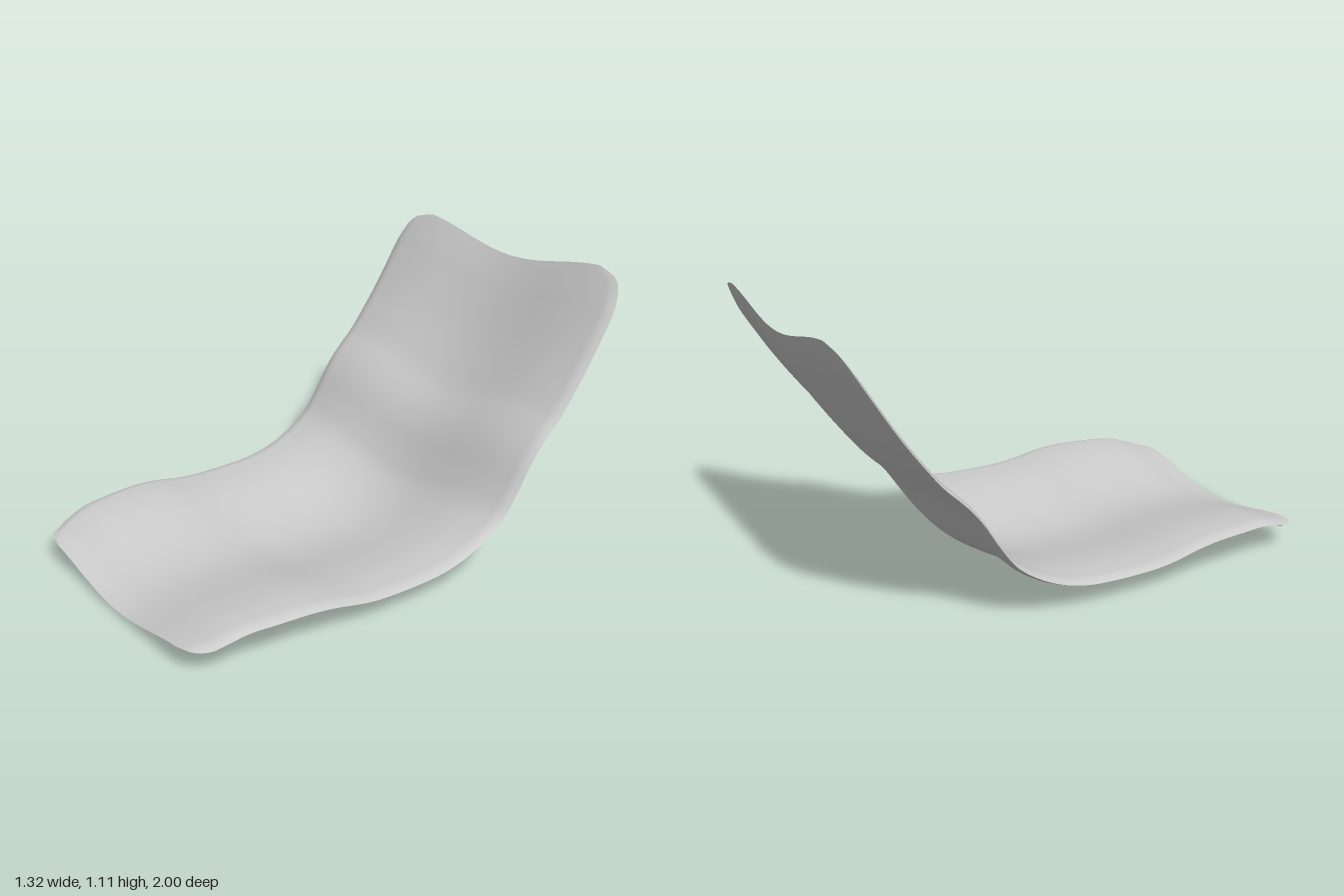
import * as THREE from 'three';

// Centre line of the shell: [z, y], front to back
const PROFILE = [
  [1, 0.02], [0.93, 0.024], [0.88, 0.04], [0.8, 0.062], [0.7, 0.067], [0.55, 0.067],
  [0.45, 0.057], [0.3, 0.028], [0.2, 0.019], [0, 0.019], [-0.1, 0.03], [-0.2, 0.058],
  [-0.3, 0.108], [-0.38, 0.17], [-0.45, 0.265], [-0.5, 0.345], [-0.55, 0.41], [-0.6, 0.462],
  [-0.65, 0.51], [-0.7, 0.57], [-0.8, 0.705], [-0.9, 0.86], [-0.95, 0.945], [-1, 1.04],
];

// Half width of the shell: [z, x], with rounded corners at both ends
const WIDTH = [
  [1, 0.45], [0.985, 0.52], [0.94, 0.565], [0.87, 0.592], [0.77, 0.612], [0.65, 0.63],
  [0.5, 0.645], [0.3, 0.655], [0.05, 0.66], [-0.9, 0.66], [-0.95, 0.645],
  [-0.985, 0.6], [-1, 0.5],
];

// Smooth interpolation through a table whose first column decreases
function smooth(table, z) {
  const last = table.length - 1;
  let i = 0;
  while (i < last - 1 && z < table[i + 1][0]) i++;
  const slope = (k) => {
    const a = table[Math.max(k - 1, 0)], b = table[Math.min(k + 1, last)];
    return (b[1] - a[1]) / (b[0] - a[0]);
  };
  const [z0, v0] = table[i], [z1, v1] = table[i + 1];
  const d = z1 - z0, t = (z - z0) / d, s = 1 - t;
  return v0 * s * s * (1 + 2 * t) + v1 * t * t * (3 - 2 * t)
    + d * s * t * (slope(i) * s - slope(i + 1) * t);
}

// Sideways dish: low in the middle, levelling out at the sides
const dish = (x) => 0.0385 * (1 - Math.cos(Math.PI * Math.min(Math.abs(x) / 0.56, 1)));
const height = (x, z) => smooth(PROFILE, z) + dish(x);

// Rounded fall-off of the thickness toward the rim
const fade = (d, reach) => Math.sin(Math.min(d / reach, 1) * Math.PI / 2);

// One skin of the shell; side is +1 for the upper and -1 for the lower face
function skin(side) {
  const rows = 130, cols = 64, half = 0.013, e = 0.004;
  const pos = [], index = [];
  const n = new THREE.Vector3();
  for (let i = 0; i <= rows; i++) {
    const s = 1 - 2 * i / rows;
    const z = 0.4 * s + 0.6 * Math.sin(s * Math.PI / 2);
    const w = smooth(WIDTH, z);
    for (let j = 0; j <= cols; j++) {
      const x = w * Math.sin((2 * j / cols - 1) * Math.PI / 2);
      const zb = Math.max(z - e, -1), zf = Math.min(z + e, 1);
      n.set(
        -(height(x + e, z) - height(x - e, z)) / (2 * e), 1,
        -(height(x, zf) - height(x, zb)) / (zf - zb),
      ).normalize();
      const t = side * half * fade(w - Math.abs(x), 0.05) * fade(1 - Math.abs(z), 0.08);
      pos.push(x + n.x * t, height(x, z) + n.y * t, z + n.z * t);
      if (i < rows && j < cols) {
        const a = i * (cols + 1) + j, b = a + 1, c = a + cols + 1, d = c + 1;
        if (side > 0) index.push(a, b, c, b, d, c);
        else index.push(a, c, b, b, c, d);
      }
    }
  }
  const geo = new THREE.BufferGeometry();
  geo.setAttribute('position', new THREE.Float32BufferAttribute(pos, 3));
  geo.setIndex(index);
  geo.computeVertexNormals();
  return geo;
}

export function createModel() {
  const model = new THREE.Group();
  model.name = 'seatShell';
  const material = new THREE.MeshStandardMaterial({ color: 0xcccccc });

  // Upper and lower faces meet along a thin rim
  for (const [name, side] of [['seatUpperFace', 1], ['seatUnderside', -1]]) {
    const mesh = new THREE.Mesh(skin(side), material);
    mesh.name = name;
    model.add(mesh);
  }
  return model;
}
